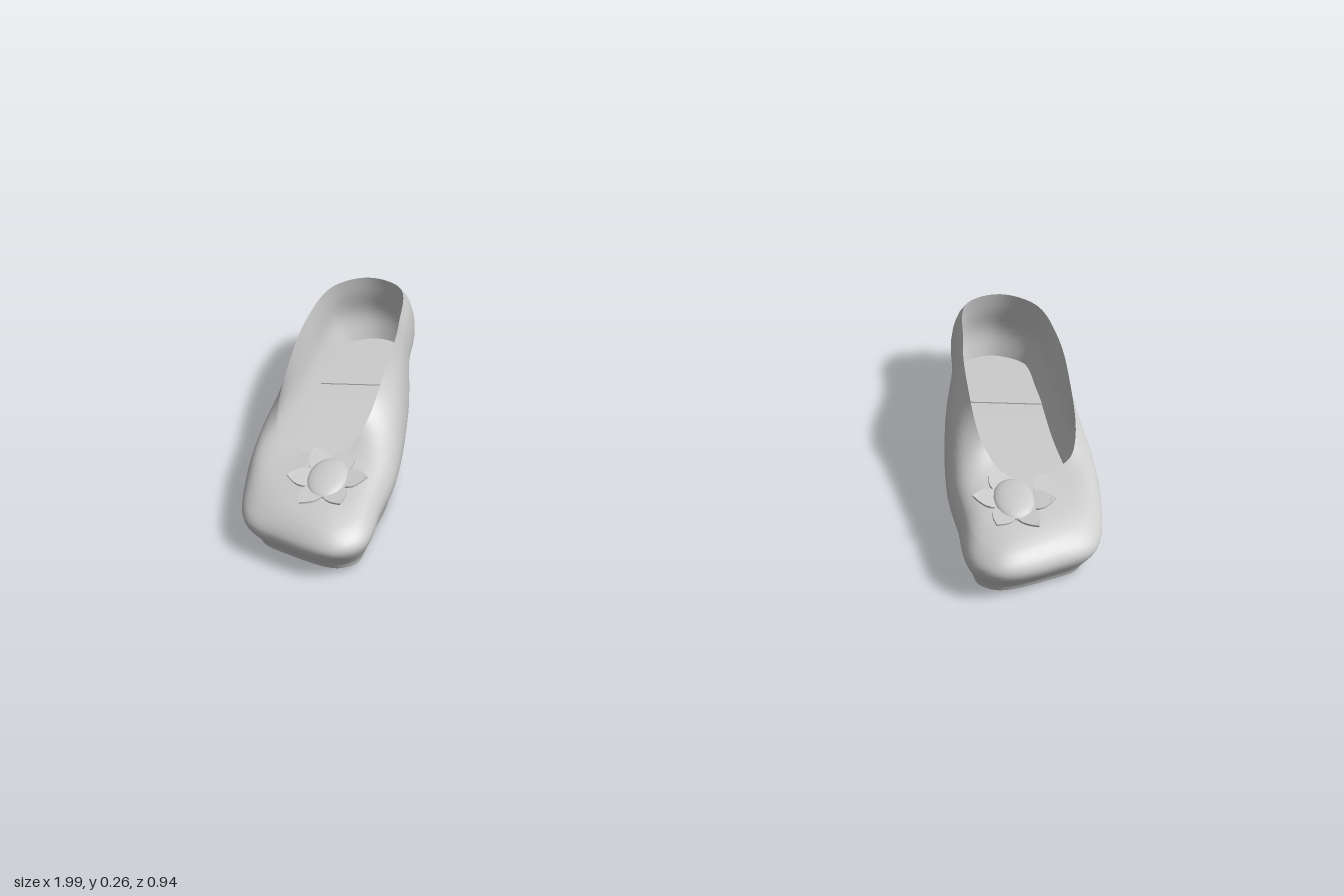
import * as THREE from 'three';
import { mergeVertices } from 'three/addons/utils/BufferGeometryUtils.js';

const N = 112; // points around each ring
const V = (x, y, z) => new THREE.Vector3(x, y, z);
const material = new THREE.MeshStandardMaterial({ color: 0xcccccc, side: THREE.DoubleSide });

// Control points run heel -> outer side -> toe -> inner side, as x, y, z
const BULGE = [
  [.815, .12, -.47], [.922, .12, -.425], [.95, .11, -.28], [.965, .1, -.1], [.993, .09, .08],
  [.993, .085, .22], [.96, .085, .36], [.88, .085, .415], [.74, .088, .467], [.674, .085, .43],
  [.657, .085, .3], [.643, .09, .18], [.657, .1, -.05], [.69, .11, -.25], [.712, .12, -.42]];
const SHOULDER = [
  [.815, .2, -.452], [.915, .2, -.412], [.95, .18, -.28], [.964, .15, -.1], [.985, .132, .07],
  [.975, .128, .2], [.935, .127, .31], [.86, .128, .375], [.75, .126, .425], [.695, .125, .39],
  [.672, .13, .28], [.656, .145, .16], [.662, .19, -.04], [.692, .18, -.25], [.715, .2, -.412]];
const RIM = [
  [.815, .243, -.435], [.902, .236, -.4], [.943, .22, -.28], [.952, .2, -.1], [.945, .172, .06],
  [.925, .155, .125], [.88, .148, .165], [.83, .15, .195], [.788, .153, .202], [.765, .156, .192],
  [.742, .167, .165], [.712, .202, .11], [.69, .258, -.03], [.705, .226, -.25], [.728, .236, -.4]];

// Underside height: lowest at the ball of the foot
const soleY = z => z > .2 ? .3 * (z - .2) ** 2 : .026 * (1 - THREE.MathUtils.smoothstep(z, -.25, .2));

function ring(points) {
  const curve = new THREE.CatmullRomCurve3(points.map(p => V(...p)), true, 'centripetal');
  return Array.from({ length: N }, (_, i) => curve.getPoint(i / N));
}

// Moves a ring inwards in plan, with a new height for each point
function inset(r, d, height) {
  return r.map((p, i) => {
    const t = r[(i + 1) % N].clone().sub(r[(i + N - 1) % N]).setY(0).normalize();
    const q = V(p.x - t.z * d, p.y, p.z + t.x * d);
    q.y = height(q);
    return q;
  });
}

// Smooth skin through a list of rings
function loft(rings, rows) {
  const pos = [], index = [];
  const ribs = rings[0].map((_, i) => new THREE.CatmullRomCurve3(rings.map(r => r[i]), false, 'centripetal'));
  for (let j = 0; j <= rows; j++) for (const rib of ribs) pos.push(...rib.getPoint(j / rows).toArray());
  for (let j = 0; j < rows; j++) for (let i = 0; i < N; i++) {
    const a = j * N + i, b = j * N + (i + 1) % N;
    index.push(a, a + N, b, b, a + N, b + N);
  }
  return buffer(pos, index);
}

// Strip across a ring from side to side
function cap(r, up) {
  const index = [];
  for (let i = 0; i < N / 2; i++) {
    const c = (N - i) % N, d = N - i - 1;
    if (i > 0) index.push(i, c, i + 1);
    if (d !== i + 1) index.push(i + 1, c, d);
  }
  return buffer(r.flatMap(p => p.toArray()), up ? index : index.reverse());
}

function buffer(pos, index) {
  const g = new THREE.BufferGeometry();
  g.setAttribute('position', new THREE.Float32BufferAttribute(pos, 3));
  g.setIndex(index);
  g.computeVertexNormals();
  return g;
}

// Heel-shaped slab, cut straight across at zMax
function heelSlab(r, zMax, y, thickness) {
  const half = r.filter(p => p.z < zMax);
  const outer = half.filter(p => r.indexOf(p) < N / 2);
  const inner = half.filter(p => r.indexOf(p) >= N / 2);
  const pts = [...inner, ...outer].map(p => new THREE.Vector2(p.x, -p.z));
  pts[0].y = pts[pts.length - 1].y = -zMax;
  const g = new THREE.ExtrudeGeometry(new THREE.Shape(pts), { depth: thickness, bevelEnabled: false });
  return g.rotateX(-Math.PI / 2).translate(0, y, 0);
}

// Six pointed petals, tips slightly raised
function petals() {
  const s = new THREE.Shape();
  const at = (a, r) => [Math.cos(a) * r, Math.sin(a) * r];
  s.moveTo(...at(-Math.PI / 6, .055));
  for (let k = 0; k < 6; k++) {
    const a = k * Math.PI / 3;
    s.bezierCurveTo(...at(a - .42, .078), ...at(a - .16, .088), ...at(a, .1));
    s.bezierCurveTo(...at(a + .16, .088), ...at(a + .42, .078), ...at(a + Math.PI / 6, .055));
  }
  const g = new THREE.ExtrudeGeometry(s, { depth: .005, bevelEnabled: false, curveSegments: 6 });
  g.rotateX(-Math.PI / 2).scale(.93, 1, 1);
  const p = g.attributes.position;
  for (let i = 0; i < p.count; i++) p.setY(i, p.getY(i) + 1.2 * (p.getX(i) ** 2 + p.getZ(i) ** 2));
  g.computeVertexNormals();
  return g;
}

function shoeParts() {
  const bulge = ring(BULGE), shoulder = ring(SHOULDER), rim = ring(RIM);
  const soleBottom = inset(bulge, .032, p => soleY(p.z));
  const soleTop = inset(bulge, .028, p => soleY(p.z) + .012);
  const floor = inset(bulge, .036, p => soleY(p.z) + .024);
  const innerBulge = inset(bulge, .018, p => p.y);
  const innerShoulder = inset(shoulder, .012, p => p.y - .01);
  const onVamp = g => g.rotateX(.14).translate(.777, .151, .285);
  return {
    upper: loft([soleTop, bulge, shoulder, rim], 18),
    lining: loft([rim, innerShoulder, innerBulge, floor], 12),
    insole: cap(floor, true),
    soleEdge: loft([soleBottom, soleTop], 1),
    outsole: cap(soleBottom, false),
    heel: heelSlab(soleBottom, -.22, .017, .012),
    heelPad: heelSlab(floor, -.225, .045, .008),
    flowerPetals: onVamp(petals()),
    flowerCentre: onVamp(new THREE.SphereGeometry(1, 24, 12).scale(.046, .013, .062).translate(0, .006, 0)),
  };
}

// Reflects a geometry in x and keeps its faces outward
function mirrored(g) {
  const m = mergeVertices(g.clone()).scale(-1, 1, 1);
  m.index.array.reverse();
  return m;
}

export function createModel() {
  const model = new THREE.Group();
  model.name = 'pairOfSlippers';
  const parts = shoeParts();
  for (const side of ['left', 'right']) {
    const shoe = new THREE.Group();
    shoe.name = side + 'Shoe';
    for (const [name, g] of Object.entries(parts)) {
      const mesh = new THREE.Mesh(side === 'left' ? g : mirrored(g), material);
      mesh.name = name;
      shoe.add(mesh);
    }
    model.add(shoe);
  }
  return model;
}
